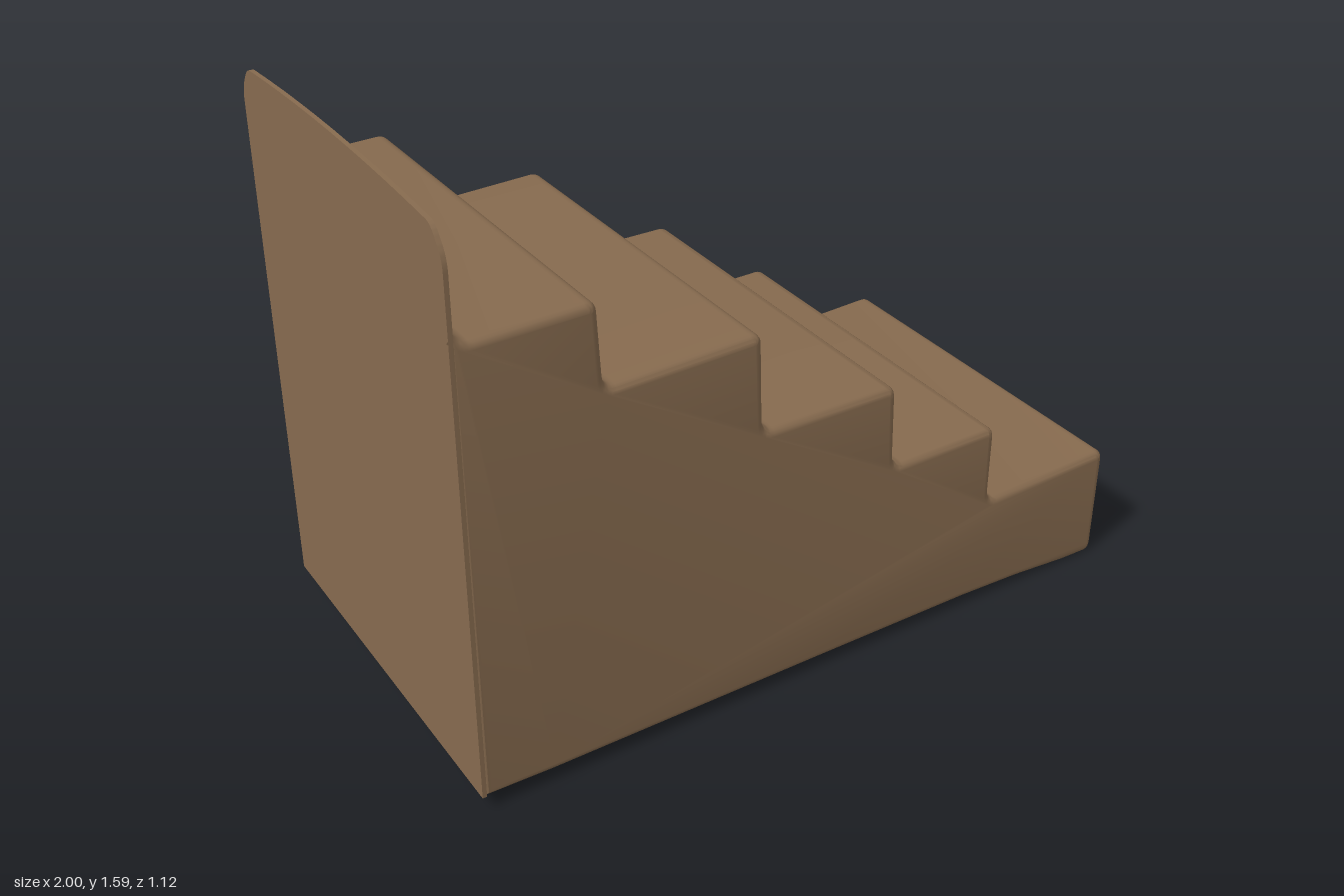
import * as THREE from 'three';
import { toCreasedNormals } from 'three/addons/utils/BufferGeometryUtils.js';

const HALF_WIDTH = 0.56;

// Closed shape from [x, y, cornerRadius] points, each corner rounded by its radius
function roundedShape(points) {
  const shape = new THREE.Shape();
  const n = points.length;
  points.forEach(([x, y, r = 0], i) => {
    const corner = new THREE.Vector2(x, y);
    const toward = ([px, py]) =>
      new THREE.Vector2(px, py).sub(corner).normalize().multiplyScalar(r).add(corner);
    const a = toward(points[(i + n - 1) % n]);
    const b = toward(points[(i + 1) % n]);
    if (i === 0) shape.moveTo(a.x, a.y);
    else shape.lineTo(a.x, a.y);
    if (r > 0) shape.quadraticCurveTo(x, y, b.x, b.y);
  });
  shape.closePath();
  return shape;
}

export function createModel() {
  const group = new THREE.Group();
  group.name = 'staircase';
  const wood = new THREE.MeshStandardMaterial({ color: 0x876b4f });
  wood.name = 'brown wood';

  // Solid flight of steps: side profile extruded across the width
  const r = 0.03;
  const profile = [
    // slightly sagging underside, back to front
    [-0.995, 0.04], [-0.8, 0.034], [0, 0.03], [0.5, 0.026], [0.7, 0.018], [0.88, 0.003],
    // treads and risers, from the lowest step up
    [0.99, 0.0, r], [0.997, 0.345, r],
    [0.57, 0.33, r], [0.572, 0.565, r],
    [0.228, 0.563, r], [0.222, 0.806, r],
    [-0.186, 0.81, r], [-0.194, 1.086, r],
    [-0.625, 1.075, r], [-0.637, 1.303, r],
    [-0.97, 1.297, r], [-0.995, 1.335],
  ];
  const bevel = 0.022;
  const stepsGeometry = new THREE.ExtrudeGeometry(roundedShape(profile), {
    depth: 2 * (HALF_WIDTH - bevel),
    curveSegments: 6,
    bevelEnabled: true,
    bevelThickness: bevel,
    bevelSize: bevel,
    bevelOffset: -bevel,
    bevelSegments: 4,
  });
  stepsGeometry.translate(0, 0, -(HALF_WIDTH - bevel));
  const steps = new THREE.Mesh(toCreasedNormals(stepsGeometry, 0.7), wood);
  steps.name = 'steps';
  group.add(steps);

  // Thin back board with clipped upper corners and a gently arched top
  const board = new THREE.Shape();
  board.moveTo(-HALF_WIDTH, 0.045);
  board.lineTo(HALF_WIDTH, 0.045);
  board.lineTo(HALF_WIDTH, 1.47);
  board.quadraticCurveTo(HALF_WIDTH, 1.51, 0.535, 1.54);
  board.quadraticCurveTo(0.515, 1.572, 0.49, 1.572);
  board.quadraticCurveTo(0, 1.606, -0.49, 1.572);
  board.quadraticCurveTo(-0.515, 1.572, -0.535, 1.54);
  board.quadraticCurveTo(-HALF_WIDTH, 1.51, -HALF_WIDTH, 1.47);
  board.closePath();
  const boardGeometry = new THREE.ExtrudeGeometry(board, {
    depth: 0.012, curveSegments: 10, bevelEnabled: false,
  });
  boardGeometry.rotateY(Math.PI / 2);
  boardGeometry.translate(-1, 0, 0);
  const backBoard = new THREE.Mesh(toCreasedNormals(boardGeometry, 0.7), wood);
  backBoard.name = 'backBoard';
  group.add(backBoard);

  return group;
}
